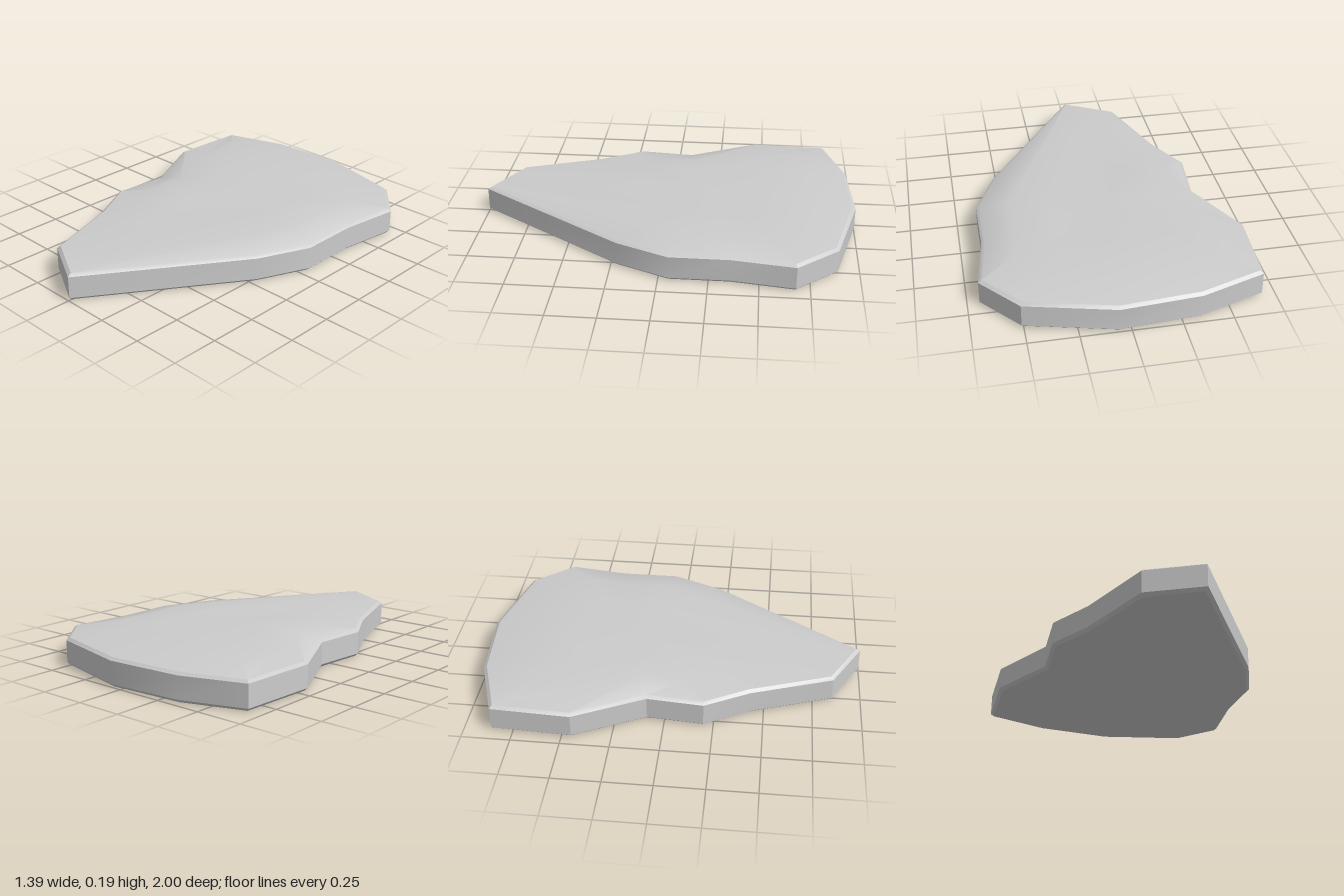
import * as THREE from 'three';
import { toCreasedNormals } from 'three/addons/utils/BufferGeometryUtils.js';

// Slab outline as [x, z], running clockwise seen from above
const OUTLINE = [
  [-0.68, -0.86], [-0.35, -0.97], [0.06, -1.0], [0.51, -0.89], [0.69, -0.68],
  [0.645, -0.36], [0.645, -0.05], [0.53, 0.22], [0.005, 0.998], [-0.27, 0.85],
  [-0.42, 0.43], [-0.545, 0.2], [-0.52, -0.09], [-0.7, -0.45],
];
const CENTRE = [0, -0.2];
const RIM = 0.146;

// Worn high and low spots of the upper face: x, z, height
const SPOTS = [
  [-0.33, -0.71, 0.183], [-0.1, -0.37, 0.189], [0.4, -0.1, 0.185], [0.3, -0.6, 0.176],
  [-0.25, -0.05, 0.187], [0.05, -0.15, 0.172], [0.2, 0.38, 0.167], [-0.3, 0.2, 0.164],
  [0, 0.55, 0.166], [-0.1, 0.75, 0.154], [-0.5, -0.4, 0.168], [0.1, -0.8, 0.178],
];

function topHeight(x, z) {
  let sum = 0, weights = 0;
  for (const [sx, sz, h] of SPOTS) {
    const w = 1 / ((x - sx) ** 2 + (z - sz) ** 2 + 0.004) ** 1.5;
    sum += w * h;
    weights += w;
  }
  return sum / weights;
}

// Mitred inset of the outline by distance d, at height y
function insetRing(d, y) {
  const n = OUTLINE.length;
  const normal = (a, b) => new THREE.Vector2(-(b[1] - a[1]), b[0] - a[0]).normalize();
  return OUTLINE.map((p, i) => {
    const n1 = normal(OUTLINE[(i + n - 1) % n], p);
    const n2 = normal(p, OUTLINE[(i + 1) % n]);
    const k = d / (1 + n1.dot(n2));
    return [p[0] + (n1.x + n2.x) * k, y, p[1] + (n1.y + n2.y) * k];
  });
}

// Ring of the upper face, shrunk toward the centre; blend eases it down to the rim
function topRing(scale, blend) {
  return insetRing(0.017, 0).map(([x, , z]) => {
    const px = CENTRE[0] + (x - CENTRE[0]) * scale;
    const pz = CENTRE[1] + (z - CENTRE[1]) * scale;
    return [px, RIM + (topHeight(px, pz) - RIM) * blend, pz];
  });
}

export function createModel() {
  const group = new THREE.Group();
  group.name = 'stoneSlab';

  // Underside, bevel, wall, bevel, then the undulating upper face
  const rings = [
    insetRing(0.017, 0), insetRing(0, 0.016), insetRing(0, 0.133), insetRing(0.017, RIM),
    topRing(0.75, 0.8), topRing(0.42, 1),
  ];
  const n = OUTLINE.length;
  const positions = rings.flat(2);
  const index = [];
  for (let r = 0; r < rings.length - 1; r++) {
    for (let i = 0; i < n; i++) {
      const a = r * n + i, b = r * n + (i + 1) % n;
      index.push(a, a + n, b, b, a + n, b + n);
    }
  }

  // Close the upper face and the flat underside with fans
  const top = positions.length / 3, bottom = top + 1, last = (rings.length - 1) * n;
  positions.push(CENTRE[0], topHeight(...CENTRE), CENTRE[1], CENTRE[0], 0, CENTRE[1]);
  for (let i = 0; i < n; i++) {
    const j = (i + 1) % n;
    index.push(last + i, top, last + j, i, j, bottom);
  }

  const geometry = new THREE.BufferGeometry();
  geometry.setAttribute('position', new THREE.Float32BufferAttribute(positions, 3));
  geometry.setIndex(index);

  const slab = new THREE.Mesh(
    toCreasedNormals(geometry, 0.5),
    new THREE.MeshStandardMaterial({ color: 0xcccccc }),
  );
  slab.name = 'slab';
  group.add(slab);
  return group;
}
